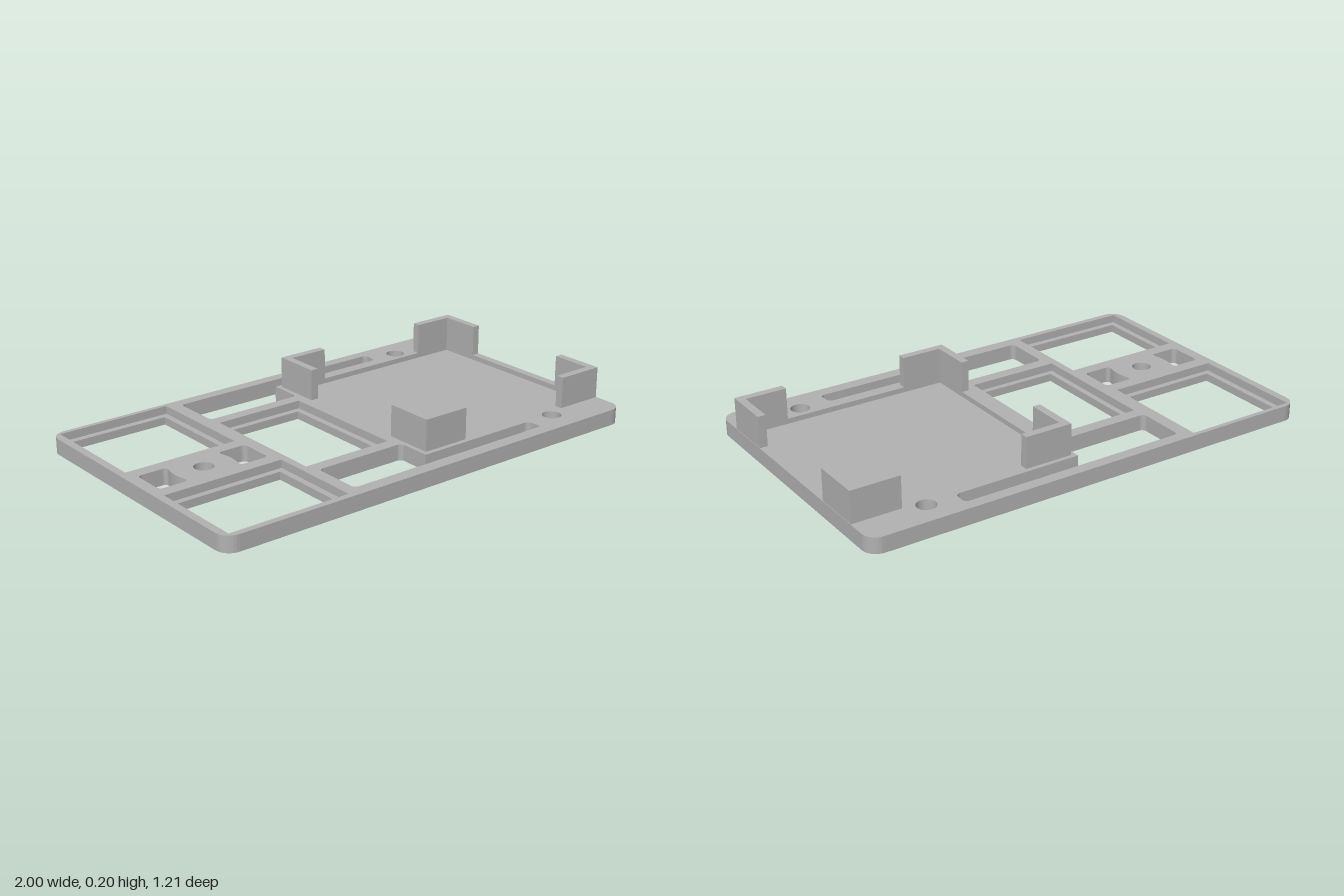
import * as THREE from 'three';

const TOP = 0.067, LEDGE = 0.033, TRAY = 0.045, POST_TOP = 0.2;

// Closed outline from [x, z, radius?] corners, drawn in shape space as (x, -z)
function outline(corners, radius = 0) {
  const path = new THREE.Path();
  const n = corners.length, k = 0.5523;
  const v = corners.map(([x, z]) => new THREE.Vector2(x, -z));
  v.forEach((p, i) => {
    const r = corners[i][2] ?? radius;
    const toward = (q) => q.clone().sub(p).setLength(r).add(p);
    const a = toward(v[(i + n - 1) % n]), b = toward(v[(i + 1) % n]);
    if (i === 0) path.moveTo(a.x, a.y); else path.lineTo(a.x, a.y);
    if (r > 0) {
      const c = a.clone().lerp(p, k), d = b.clone().lerp(p, k);
      path.bezierCurveTo(c.x, c.y, d.x, d.y, b.x, b.y);
    }
  });
  path.closePath();
  return path.getPoints(8);
}

const rect = (x0, x1, z0, z1, r = 0) => outline([[x0, z0], [x1, z0], [x1, z1], [x0, z1]], r);

function circle(x, z, r) {
  return new THREE.Path().absarc(x, -z, r, 0, Math.PI * 2).getPoints(32);
}

// Horizontal face with holes, facing up or down
function face(points, holes, y, up = true) {
  const shape = new THREE.Shape(points);
  shape.holes = holes.map((h) => new THREE.Path(h));
  const g = new THREE.ShapeGeometry(shape);
  g.rotateX(-Math.PI / 2);
  if (!up) {
    g.index.array.reverse();
    g.computeVertexNormals();
  }
  g.translate(0, y, 0);
  return g;
}

// Vertical wall along a closed outline, facing outward or into a hole
function wall(points, y0, y1, outward = false) {
  const pts = points.filter((p, i) => p.distanceTo(points[(i + 1) % points.length]) > 1e-5);
  if (THREE.ShapeUtils.isClockWise(pts) === outward) pts.reverse();
  const pos = [];
  pts.forEach((a, i) => {
    const b = pts[(i + 1) % pts.length];
    pos.push(a.x, y0, -a.y, b.x, y0, -b.y, b.x, y1, -b.y);
    pos.push(a.x, y0, -a.y, b.x, y1, -b.y, a.x, y1, -a.y);
  });
  const g = new THREE.BufferGeometry();
  g.setAttribute('position', new THREE.Float32BufferAttribute(pos, 3));
  g.computeVertexNormals();
  return g;
}

export function createModel() {
  const model = new THREE.Group();
  const grey = new THREE.MeshStandardMaterial({ color: 0xb2b2b2, side: THREE.DoubleSide });
  grey.name = 'plain grey';
  const add = (name, geometry) => {
    const mesh = new THREE.Mesh(geometry, grey);
    mesh.name = name;
    model.add(mesh);
  };

  const plate = rect(-1, 1, -0.605, 0.605, 0.06);

  // Stepped windows: wide recess above a smaller opening
  const windows = [
    [[-0.967, -0.47, -0.585, -0.094], [-0.94, -0.497, -0.556, -0.12]],
    [[-0.967, -0.438, 0.171, 0.578], [-0.94, -0.465, 0.198, 0.55]],
    [[-0.405, -0.003, -0.29, 0.283], [-0.38, -0.03, -0.262, 0.257]],
  ].map(([outer, inner]) => ({ outer: rect(...outer), inner: rect(...inner) }));

  // Cutouts that run straight through the plate
  const pinched = (s) => outline([
    [-0.705 + s * 0.117, -0.037], [-0.705 + s * 0.245, -0.037],
    [-0.705 + s * 0.245, 0.115], [-0.705 + s * 0.117, 0.115],
    [-0.705 + s * 0.129, 0.06], [-0.705 + s * 0.129, 0.018],
  ], 0.02);
  const cutouts = [
    outline([[-0.413, -0.556], [0.58, -0.556], [0.575, -0.487], [0.022, -0.487, 0],
      [0.022, -0.342], [-0.413, -0.342]], 0.02),
    outline([[-0.386, 0.549], [0.58, 0.549], [0.575, 0.481], [0.022, 0.481, 0],
      [0.022, 0.337], [-0.386, 0.337]], 0.02),
    pinched(-1), pinched(1),
    circle(-0.705, 0.04, 0.04), circle(0.704, -0.495, 0.04), circle(0.704, 0.488, 0.04),
  ];
  const tray = rect(0.075, 0.965, -0.435, 0.427);

  // Base plate
  add('plateTop', face(plate, [...cutouts, tray, ...windows.map((w) => w.outer)], TOP));
  add('plateBottom', face(plate, [...cutouts, ...windows.map((w) => w.inner)], 0, false));
  add('plateEdge', wall(plate, 0, TOP, true));
  cutouts.forEach((c) => add('cutoutWall', wall(c, 0, TOP)));
  windows.forEach(({ outer, inner }) => {
    add('windowRecessWall', wall(outer, LEDGE, TOP));
    add('windowLedge', face(outer, [inner], LEDGE));
    add('windowOpeningWall', wall(inner, 0, LEDGE));
  });

  // Shallow tray
  add('trayFloor', face(tray, [], TRAY));
  add('trayWall', wall(tray, TRAY, TOP));

  // L-shaped corner brackets around the tray
  const t = 0.033, len = 0.208;
  for (const [x, sx] of [[0.042, 1], [0.998, -1]]) {
    for (const [z, sz] of [[-0.468, 1], [0.46, -1]]) {
      const corner = outline([[0, 0], [len, 0], [len, t], [t, t], [t, len], [0, len]]
        .map(([a, b]) => [x + sx * a, z + sz * b]));
      add('cornerBracketSides', wall(corner, TOP, POST_TOP, true));
      add('cornerBracketTop', face(corner, [], POST_TOP));
    }
  }
  return model;
}
